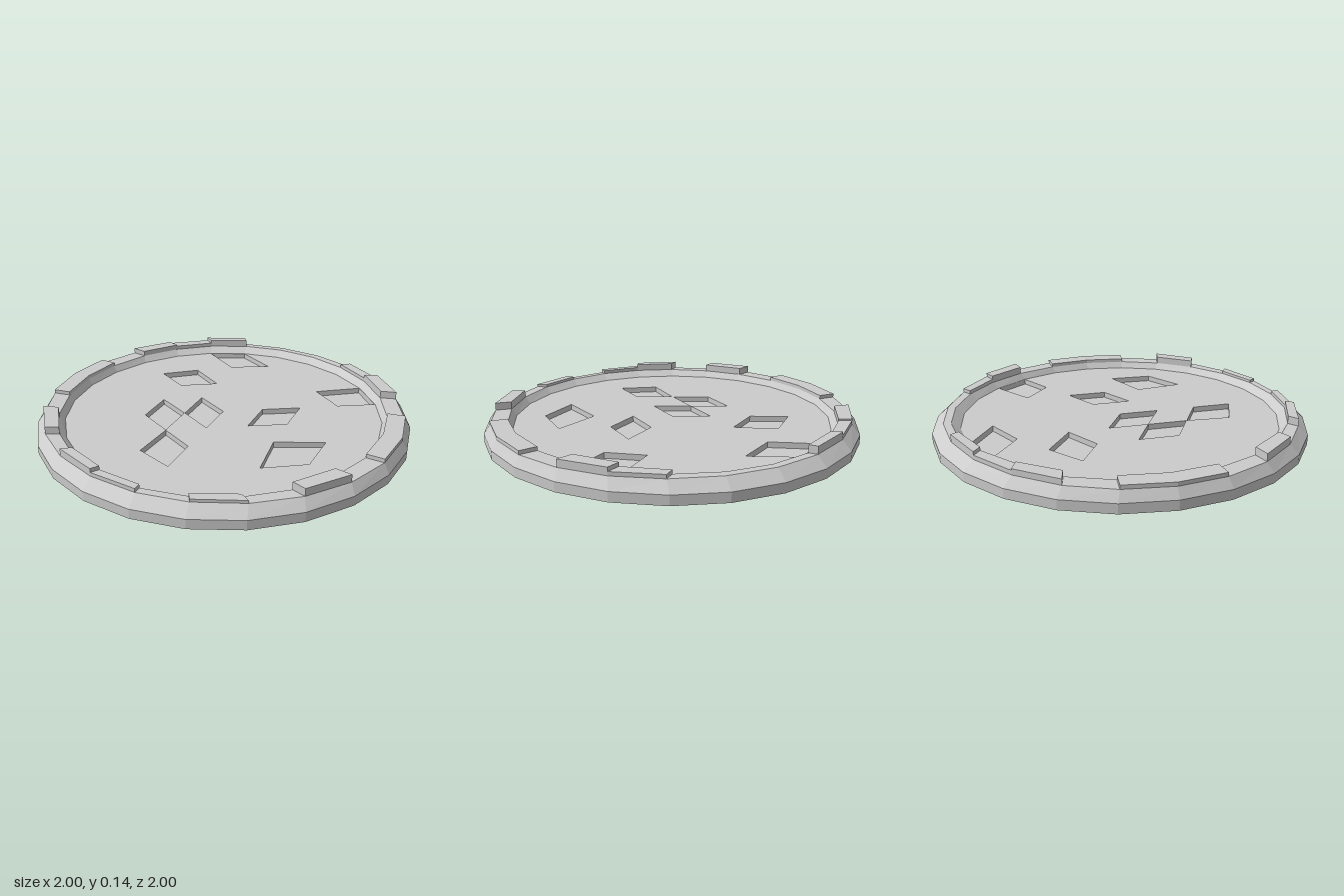
import * as THREE from 'three';

const SIDES = 24;
const material = new THREE.MeshStandardMaterial({ color: 0xcccccc, flatShading: true });

// Elliptical rings of the dish, from the base outward, up and over the rim: [rx, rz, y]
const RIM_OUT = [0.97, 0.94, 0.1];
const RIM_IN = [0.874, 0.9, 0.1];
const FLOOR = [0.852, 0.855, 0.065];
const RINGS = [[1, 1, 0], [1, 1, 0.05], RIM_OUT, RIM_IN, FLOOR];
const PIT_Y = 0.035;

// Raised rim tiles: [start angle from the back in degrees, top height]
const TILES = [
  [30, 0.12], [45, 0.14], [75, 0.12], [90, 0.12], [120, 0.14], [150, 0.115],
  [180, 0.12], [195, 0.14], [225, 0.14], [255, 0.12], [270, 0.12],
  [300, 0.13], [315, 0.122], [330, 0.14],
];

// Sunken floor slabs, corners [x, z] clockwise from above
const PITS = [
  [[-0.22, -0.825], [0, -0.69], [-0.21, -0.585], [-0.426, -0.738]],
  [[-0.55, -0.32], [-0.38, -0.455], [-0.185, -0.32], [-0.37, -0.21]],
  [[0.385, -0.455], [0.602, -0.604], [0.738, -0.427], [0.55, -0.32]],
  [[0.185, -0.11], [0.37, -0.215], [0.37, 0], [0.185, 0.105]],
  [[-0.185, -0.11], [0, 0], [0, 0.215], [-0.185, 0.105]],
  [[-0.37, 0], [-0.185, 0.105], [-0.185, 0.32], [-0.37, 0.215]],
  [[-0.185, 0.32], [0, 0.425], [0, 0.64], [-0.2, 0.56]],
  [[0.37, 0.21], [0.615, 0.105], [0.605, 0.345], [0.4, 0.475]],
].map(shrink);

// Pull the corners in slightly so neighbouring holes never touch
function shrink(pts) {
  const cx = pts.reduce((s, p) => s + p[0], 0) / 4;
  const cz = pts.reduce((s, p) => s + p[1], 0) / 4;
  return pts.map(([x, z]) => [cx + (x - cx) * 0.985, cz + (z - cz) * 0.985]);
}

// Point on a ring; the angle runs back, right (+x), front
function onRing([rx, rz, y], degrees, height = y) {
  const a = THREE.MathUtils.degToRad(degrees);
  return [rx * Math.sin(a), height, -rz * Math.cos(a)];
}

// Flat mesh from four-cornered faces
function faceMesh(name, faces) {
  const pos = faces.flatMap(([a, b, c, d]) => [a, b, c, a, c, d].flat());
  const geo = new THREE.BufferGeometry();
  geo.setAttribute('position', new THREE.Float32BufferAttribute(pos, 3));
  geo.computeVertexNormals();
  return named(name, geo);
}

function named(name, geo) {
  const mesh = new THREE.Mesh(geo, material);
  mesh.name = name;
  return mesh;
}

function makeDish() {
  const faces = [];
  const step = 360 / SIDES;
  for (let r = 0; r < RINGS.length - 1; r++) {
    for (let i = 0; i < SIDES; i++) {
      const a = i * step, b = a + step;
      faces.push([
        onRing(RINGS[r], b), onRing(RINGS[r], a),
        onRing(RINGS[r + 1], a), onRing(RINGS[r + 1], b),
      ]);
    }
  }
  return faceMesh('rim', faces);
}

function makeTile([a, h]) {
  const b = a + 360 / SIDES;
  const corner = (ring, angle) => [onRing(ring, angle), onRing(ring, angle, h)];
  const [oa, oaTop] = corner(RIM_OUT, a), [ob, obTop] = corner(RIM_OUT, b);
  const [ia, iaTop] = corner(RIM_IN, a), [ib, ibTop] = corner(RIM_IN, b);
  return faceMesh('rimTile', [
    [ob, oa, oaTop, obTop],
    [obTop, oaTop, iaTop, ibTop],
    [ibTop, iaTop, ia, ib],
    [oa, ia, iaTop, oaTop],
    [ib, ob, obTop, ibTop],
  ]);
}

function makePit(pts) {
  const low = pts.map(([x, z]) => [x, PIT_Y, z]);
  const top = pts.map(([x, z]) => [x, FLOOR[2], z]);
  const walls = low.map((p, i) => {
    const j = (i + 1) % 4;
    return [p, low[j], top[j], top[i]];
  });
  return faceMesh('sunkenSlab', [[...low].reverse(), ...walls]);
}

function makeFloor() {
  const outline = [];
  for (let i = 0; i < SIDES; i++) {
    const [x, , z] = onRing(FLOOR, (i * 360) / SIDES);
    outline.push(new THREE.Vector2(x, -z));
  }
  const shape = new THREE.Shape(outline);
  for (const pts of PITS) {
    shape.holes.push(new THREE.Path(pts.map(([x, z]) => new THREE.Vector2(x, -z))));
  }
  const geo = new THREE.ShapeGeometry(shape);
  geo.rotateX(-Math.PI / 2).translate(0, FLOOR[2], 0);
  return named('floor', geo);
}

export function createModel() {
  const model = new THREE.Group();
  model.name = 'stoneDisc';

  const tiles = new THREE.Group();
  tiles.name = 'rimTiles';
  TILES.forEach((t) => tiles.add(makeTile(t)));

  const pits = new THREE.Group();
  pits.name = 'sunkenSlabs';
  PITS.forEach((p) => pits.add(makePit(p)));

  const underside = named('underside', new THREE.CircleGeometry(1, SIDES).rotateX(Math.PI / 2));

  model.add(makeDish(), makeFloor(), pits, tiles, underside);
  return model;
}
